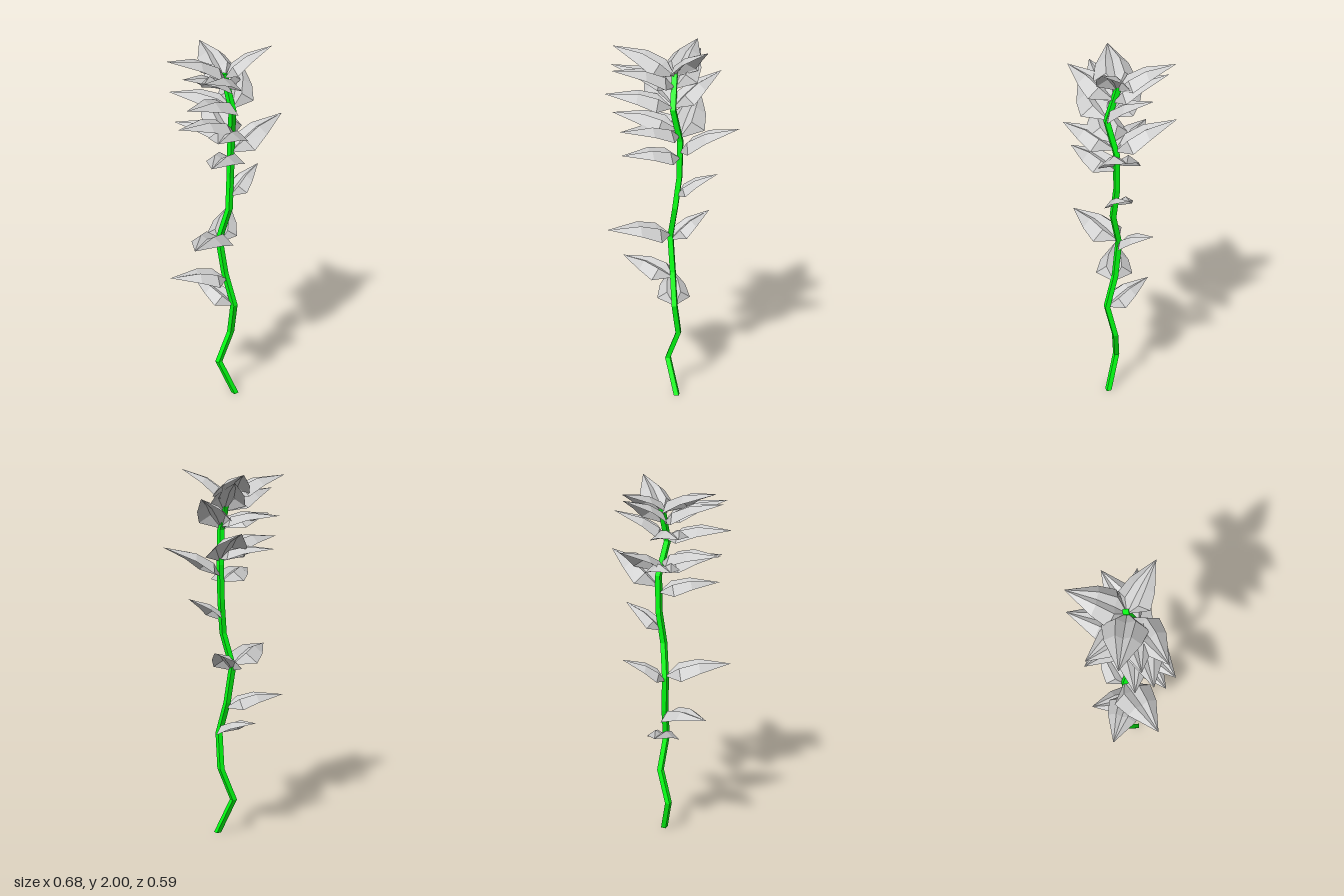
import * as THREE from 'three';

// Kinked stem, bottom to top
const STEM = [
  [0.03, 0, 0.06], [-0.05, 0.2, 0.015], [0.02, 0.38, 0.02], [0.02, 0.57, 0.065],
  [-0.015, 0.75, 0.02], [-0.04, 0.95, 0], [0.005, 1.13, 0.03], [0.02, 1.3, 0.01],
  [0.025, 1.5, 0.01], [0.01, 1.68, 0.06], [-0.012, 1.86, 0.0],
].map((p) => new THREE.Vector3(...p));

// Leaves: height of the base on the stem, then the tip position
const LEAVES = [
  [0.57, -0.13, 0.67, -0.165], [0.72, -0.33, 0.78, 0.02],
  [0.96, -0.28, 1.03, 0.255], [0.93, 0.1, 1.06, -0.185],
  [1.2, 0.21, 1.33, -0.055], [1.41, -0.185, 1.46, 0.255],
  [1.44, 0.338, 1.6, -0.04], [1.53, -0.167, 1.6, 0.293],
  [1.53, -0.23, 1.59, -0.145], [1.52, -0.017, 1.68, -0.297],
  [1.57, -0.31, 1.64, 0.13], [1.69, -0.3, 1.76, 0.217],
  [1.7, -0.263, 1.76, -0.125], [1.69, 0.165, 1.85, -0.172],
  [1.78, -0.295, 1.9, 0.155], [1.79, -0.225, 1.9, 0.265],
  [1.78, 0.007, 1.93, -0.25], [1.84, -0.34, 1.97, 0.06],
  [1.84, 0.217, 2.0, 0.08], [1.84, -0.03, 1.97, -0.285],
];

// Point on the stem at a given height
function stemAt(y) {
  let i = 0;
  while (i < STEM.length - 2 && STEM[i + 1].y < y) i++;
  const a = STEM[i], b = STEM[i + 1];
  return a.clone().lerp(b, Math.min(1, (y - a.y) / (b.y - a.y)));
}

// Square tube whose rings follow the stem points
function stemGeometry() {
  const n = STEM.length - 1;
  const geo = new THREE.CylinderGeometry(0.02, 0.02, n, 4, n);
  geo.rotateY(Math.PI / 4 + 0.35);
  const pos = geo.attributes.position;
  for (let i = 0; i < pos.count; i++) {
    const p = STEM[Math.round(pos.getY(i) + n / 2)];
    pos.setXYZ(i, pos.getX(i) + p.x, p.y, pos.getZ(i) + p.z);
  }
  geo.computeVertexNormals();
  return geo;
}

// Arched, creased leaf blade: [distance along, half width, arch height]
const SECTIONS = [[0, 0.04, 0], [0.23, 1, 0.1], [0.53, 0.78, 0.115], [1, 0, 0]];
// Fold across the blade: [sideways, height]
const FOLD = [[-1, -0.42], [-0.42, 0.06], [0, -0.14], [0.42, 0.06], [1, -0.42]];

function leafGeometry(base, tip) {
  const along = tip.clone().sub(base);
  const length = along.length();
  along.normalize();
  const side = new THREE.Vector3(0, 1, 0).cross(along).normalize();
  const up = along.clone().cross(side);
  const half = 0.31 * length;
  const positions = [], index = [];
  for (const [t, w, arch] of SECTIONS) {
    for (const [u, h] of FOLD) {
      const p = base.clone().addScaledVector(along, t * length)
        .addScaledVector(side, u * w * half)
        .addScaledVector(up, arch * length + h * w * half);
      positions.push(p.x, p.y, p.z);
    }
  }
  const m = FOLD.length;
  for (let r = 0; r < SECTIONS.length - 1; r++) {
    for (let c = 0; c < m - 1; c++) {
      const a = r * m + c, b = a + m;
      index.push(a, b, a + 1);
      if (r < SECTIONS.length - 2) index.push(a + 1, b, b + 1);
    }
  }
  const geo = new THREE.BufferGeometry();
  geo.setAttribute('position', new THREE.Float32BufferAttribute(positions, 3));
  geo.setIndex(index);
  geo.computeVertexNormals();
  return geo;
}

export function createModel() {
  const model = new THREE.Group();
  model.name = 'leafyPlant';

  const stem = new THREE.Mesh(stemGeometry(),
    new THREE.MeshStandardMaterial({ color: 0x00ff11, flatShading: true }));
  stem.name = 'stem';
  model.add(stem);

  const leafMaterial = new THREE.MeshStandardMaterial({
    color: 0xcccccc, flatShading: true, side: THREE.DoubleSide,
  });
  const leaves = new THREE.Group();
  leaves.name = 'leaves';
  for (const [y, ...tip] of LEAVES) {
    const leaf = new THREE.Mesh(leafGeometry(stemAt(y), new THREE.Vector3(...tip)), leafMaterial);
    leaf.name = 'leaf';
    leaves.add(leaf);
  }
  model.add(leaves);
  return model;
}
